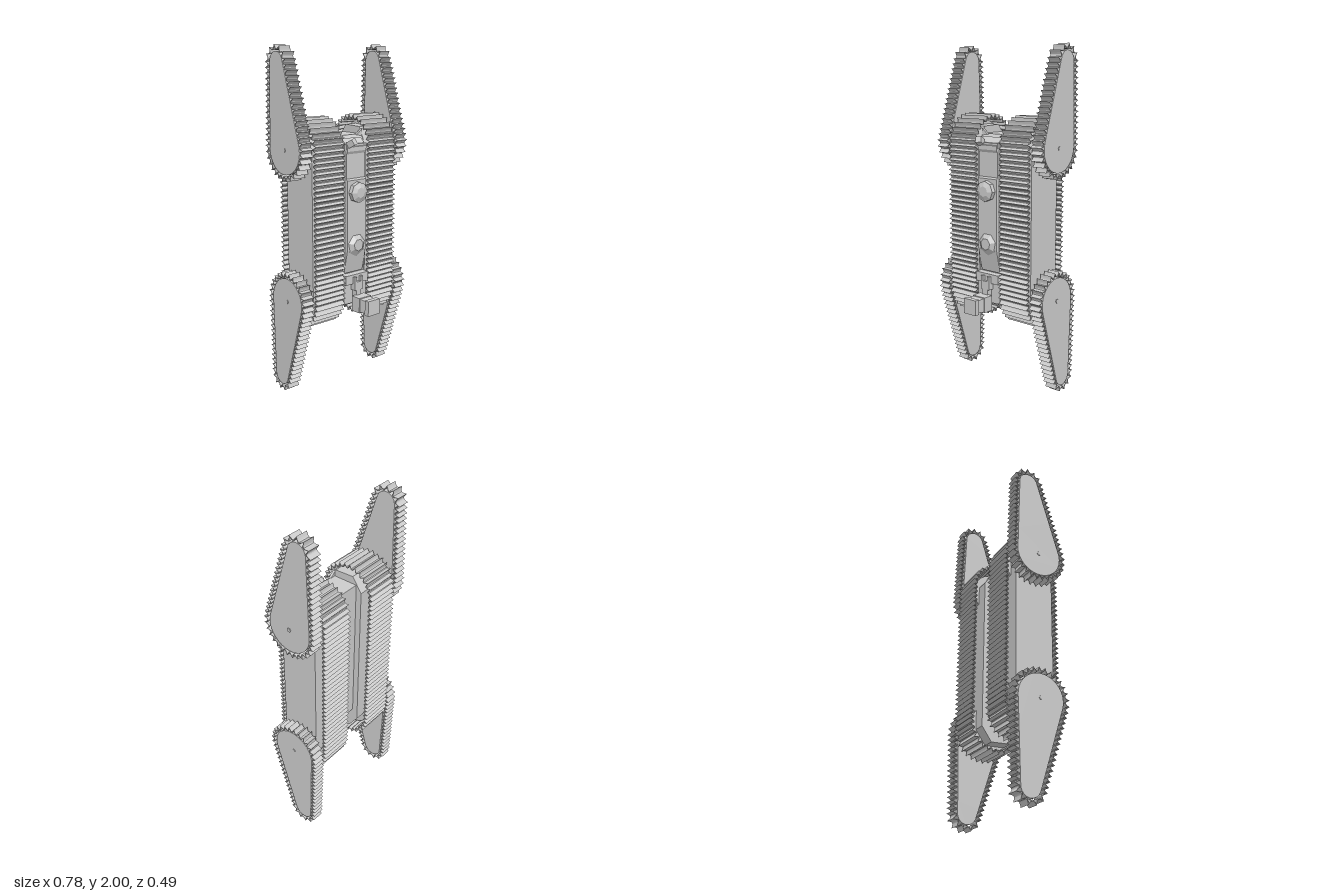
import * as THREE from 'three';

const material = new THREE.MeshStandardMaterial({ color: 0xcccccc, flatShading: true });

function add(parent, name, geometry, x = 0, y = 0, z = 0) {
  const mesh = new THREE.Mesh(geometry, material);
  mesh.name = name;
  mesh.position.set(x, y, z);
  parent.add(mesh);
  return mesh;
}

const box = (w, h, d) => new THREE.BoxGeometry(w, h, d);

// Side profile given as [z, y] points, extruded along x from x0 to x1
const toPoints = (pts) => pts.map(([z, y]) => new THREE.Vector2(-z, y));
function slab(outline, x0, x1, hole) {
  const shape = new THREE.Shape(toPoints(outline));
  // The hole runs the opposite way round, so its walls face inwards
  if (hole) shape.holes.push(new THREE.Path(toPoints(hole).reverse()));
  const g = new THREE.ExtrudeGeometry(shape, { depth: x1 - x0, bevelEnabled: false });
  return g.rotateY(Math.PI / 2).translate(x0, 0, 0);
}

// Loop wrapped round two wheels {z, y, r}: evenly spaced points pushed out by offset(i)
function wrap(a, b, count, offset) {
  const dz = b.z - a.z, dy = b.y - a.y, dist = Math.hypot(dz, dy);
  const phi = Math.atan2(dy, dz), t = Math.acos((a.r - b.r) / dist);
  const run = dist * Math.sin(t);
  const arcB = 2 * t * b.r, arcA = (2 * Math.PI - 2 * t) * a.r;
  const total = 2 * run + arcA + arcB;
  const pts = [];
  for (let i = 0; i < count; i++) {
    let s = (i / count) * total, c, ang, k = 0;
    const d = offset(i);
    if (s < run) { c = a; ang = phi - t; k = s; }
    else if ((s -= run) < arcB) { c = b; ang = phi - t + s / b.r; k = 0; }
    else if ((s -= arcB) < run) { c = b; ang = phi + t; k = s; }
    else { c = a; ang = phi + t + (s - run) / a.r; }
    const cos = Math.cos(ang), sin = Math.sin(ang);
    pts.push([c.z + cos * (c.r + d) - sin * k, c.y + sin * (c.r + d) + cos * k]);
  }
  return pts;
}

// Scalloped tread: sharp grousers with round hollows between them
const grouser = [0.0335, 0.02, 0.012, 0.01, 0.012, 0.02];
function tread(a, b, links, x0, x1) {
  const n = links * grouser.length;
  const outer = wrap(a, b, n, (i) => grouser[i % grouser.length]);
  const inner = wrap(a, b, n, (i) => grouser[i % grouser.length] - 0.006);
  return slab(outer, x0, x1, inner);
}

// Cylinder lying along x
const axle = (r, len, sides) => new THREE.CylinderGeometry(r, r, len, sides).rotateZ(Math.PI / 2);
// Cylinder pointing to +z
const knob = (rFront, rBack, len, sides) =>
  new THREE.CylinderGeometry(rFront, rBack, len, sides).rotateX(Math.PI / 2);

export function createModel() {
  const model = new THREE.Group();
  model.name = 'trackedRobot';

  const low = { z: -0.072, y: 0.565, r: 0.139 };
  const high = { z: -0.072, y: 1.435, r: 0.139 };

  for (const side of [-1, 1]) {
    const span = (a, b) => (side > 0 ? [a, b] : [-b, -a]);
    const label = side > 0 ? 'left' : 'right';

    // Main track with its side housing and end wheels
    const track = new THREE.Group();
    track.name = label + 'MainTrack';
    model.add(track);
    add(track, 'mainTread', tread(low, high, 88, ...span(0.092, 0.297)));
    add(track, 'trackHousing', slab([
      [0.06, 0.56], [0.01, 0.46], [-0.11, 0.455], [-0.17, 0.54],
      [-0.17, 1.46], [-0.11, 1.545], [0.01, 1.54], [0.06, 1.44],
    ], ...span(0.088, 0.298)));
    for (const wheel of [low, high]) {
      add(track, 'trackWheel', axle(0.134, 0.07, 24), side * 0.2, wheel.y, wheel.z);
    }

    // Tapered flippers, one reaching up and one reaching down
    for (const dir of [-1, 1]) {
      const flipper = new THREE.Group();
      flipper.name = label + (dir > 0 ? 'UpperFlipper' : 'LowerFlipper');
      model.add(flipper);
      const root = { z: -0.072, y: 1 + dir * 0.435, r: 0.139 };
      const tip = { z: -0.136, y: 1 + dir * 0.906, r: 0.061 };
      add(flipper, 'flipperTread', tread(root, tip, 52, ...span(0.315, 0.389)));
      add(flipper, 'flipperPlate', slab(wrap(root, tip, 80, () => -0.003), ...span(0.319, 0.385)));
      add(flipper, 'flipperAxle', axle(0.055, 0.04, 16), side * 0.306, root.y, root.z);
      add(flipper, 'axleCap', axle(0.012, 0.008, 6), side * 0.385, root.y, root.z);
    }
  }

  // Central hull between the tracks
  add(model, 'hull', slab([
    [-0.135, 0.6], [-0.06, 0.5], [0.05, 0.5], [0.05, 1.46], [0.02, 1.5], [-0.135, 1.5],
  ], -0.092, 0.092));
  for (const side of [-1, 1]) {
    const gusset = new THREE.Shape([[0.092, 1.49], [0.092, 1.53], [0.05, 1.495]].map(
      ([x, y]) => new THREE.Vector2(side * x, y)));
    add(model, 'topGusset', new THREE.ExtrudeGeometry(gusset, { depth: 0.015, bevelEnabled: false }), 0, 0, 0.015);
    add(model, 'deckRail', box(0.01, 0.72, 0.025), side * 0.078, 1.09, 0.06);
  }

  // Raised front deck with a sloping lower end
  add(model, 'frontDeck', slab([
    [0.04, 0.69], [0.06, 0.7], [0.09, 0.84], [0.09, 1.25], [0.082, 1.26],
    [0.082, 1.4], [0.09, 1.415], [0.09, 1.44], [0.04, 1.485],
  ], -0.07, 0.07));
  add(model, 'deckBar', box(0.15, 0.03, 0.03), 0, 1.44, 0.072);

  // Small tilted sensor at the top
  const sensor = add(model, 'topSensor', box(0.036, 0.036, 0.045), -0.046, 1.463, 0.1);
  sensor.rotation.set(-0.5, 0.2, 0.3);

  // Faceted knob and low dome on the deck
  add(model, 'knobBase', knob(0.06, 0.06, 0.03, 8), 0, 1.18, 0.1);
  add(model, 'knobTop', knob(0.03, 0.055, 0.012, 8), 0, 1.18, 0.121);
  add(model, 'deckDome', knob(0.035, 0.07, 0.025, 7), 0, 0.87, 0.097);

  // Camera bracket, neck and stepped camera head
  add(model, 'cameraBracket', box(0.17, 0.055, 0.06), 0, 0.665, 0.065);
  add(model, 'cameraPlate', box(0.17, 0.12, 0.03), 0, 0.575, 0.06);
  for (const x of [-0.024, 0.024]) add(model, 'cameraFork', box(0.014, 0.08, 0.035), x, 0.64, 0.095);
  add(model, 'cameraNeck', box(0.036, 0.1, 0.035), 0, 0.6, 0.095);
  add(model, 'cameraBody', box(0.092, 0.09, 0.065), 0, 0.525, 0.135);
  const barrel = knob(0.052, 0.057, 0.05, 4).rotateZ(Math.PI / 4);
  add(model, 'cameraBarrel', barrel, 0, 0.525, 0.19);
  add(model, 'cameraHood', box(0.09, 0.09, 0.03), 0, 0.525, 0.229);

  return model;
}
